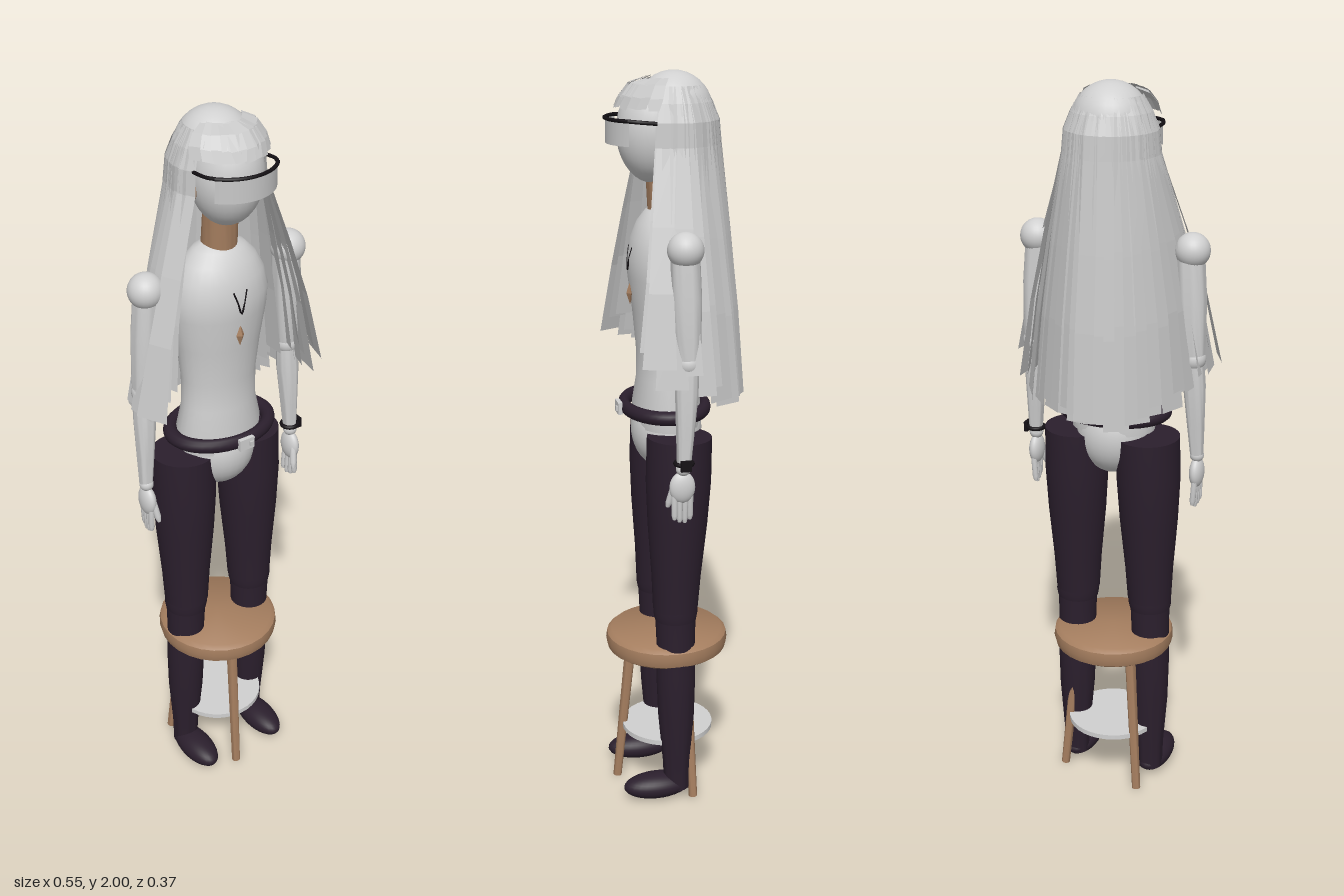
import * as THREE from 'three';
import { toCreasedNormals } from 'three/addons/utils/BufferGeometryUtils.js';

const mat = (name, color, side = THREE.FrontSide) => {
  const m = new THREE.MeshStandardMaterial({ color, side });
  m.name = name;
  return m;
};
const V = (x, y, z) => new THREE.Vector3(x, y, z);

export function createModel() {
  const body = mat('pale grey', 0xd0d0d0);
  const hairMat = mat('hair grey', 0xc8c8c8, THREE.DoubleSide);
  const cloth = mat('dark plum', 0x2b1f2d);
  const wood = mat('wood brown', 0xa57e5f);
  const black = mat('black', 0x141014, THREE.DoubleSide);

  const model = new THREE.Group();
  const add = (name, geo, material, x = 0, y = 0, z = 0) => {
    const m = new THREE.Mesh(geo, material);
    m.name = name;
    m.position.set(x, y, z);
    model.add(m);
    return m;
  };
  const ball = (name, material, x, y, z, rx, ry = rx, rz = rx) =>
    add(name, new THREE.SphereGeometry(1, 28, 18), material, x, y, z).scale.set(rx, ry, rz);
  const lathe = (profile) => toCreasedNormals(
    new THREE.LatheGeometry(profile.map(([r, y]) => new THREE.Vector2(r, y)), 28), 0.7);
  // round limb from a to b; profile holds [radius, fraction of length]
  const limb = (name, material, a, b, profile) => {
    const d = b.clone().sub(a), len = d.length();
    const m = add(name, lathe([[0, 0], ...profile.map(([r, t]) => [r, t * len]), [0, len]]), material, a.x, a.y, a.z);
    m.quaternion.setFromUnitVectors(V(0, 1, 0), d.normalize());
  };
  const tube = (name, material, pts, r) =>
    add(name, new THREE.TubeGeometry(new THREE.CatmullRomCurve3(pts), 24, r, 6), material);

  // Head
  ball('skull', body, 0, 1.9, 0, 0.1);
  ball('face', body, 0, 1.85, 0.052, 0.092, 0.13, 0.095);
  limb('neck', wood, V(0, 1.63, 0.02), V(0, 1.78, 0.03), [[0.046, 0], [0.044, 1]]);

  // Torso, pelvis and belt
  const torso = add('torso', lathe([[0, 1.08], [0.115, 1.08], [0.12, 1.14], [0.105, 1.21], [0.105, 1.29],
    [0.117, 1.39], [0.132, 1.48], [0.135, 1.53], [0.122, 1.58], [0.1, 1.62], [0.07, 1.65], [0.04, 1.665], [0, 1.67]]), body, 0, 0, 0.02);
  torso.scale.z = 0.75;
  ball('pelvis', body, 0, 1.065, 0.02, 0.1, 0.115, 0.095);
  const belt = add('belt', new THREE.TorusGeometry(0.14, 0.02, 12, 40), cloth, 0, 1.13, 0.025);
  belt.rotation.x = Math.PI / 2;
  belt.scale.set(1, 0.76, 0.95);
  add('buckle', new THREE.BoxGeometry(0.045, 0.032, 0.012), body, 0, 1.13, 0.149);
  add('buckleTongue', new THREE.BoxGeometry(0.012, 0.012, 0.006), hairMat, 0.012, 1.13, 0.157);

  // Necklace and pendant
  tube('necklace', black, [V(-0.02, 1.56, 0.113), V(-0.01, 1.53, 0.119), V(0, 1.5, 0.122), V(0.01, 1.53, 0.119), V(0.02, 1.56, 0.113)], 0.0025);
  const gem = add('pendant', new THREE.OctahedronGeometry(1), wood, 0, 1.437, 0.116);
  gem.scale.set(0.012, 0.03, 0.01);

  for (const s of [-1, 1]) {
    // Ears and temples
    ball('ear', wood, s * 0.094, 1.825, 0.04, 0.014, 0.03, 0.018);
    tube('glassesTemple', black, [V(s * 0.088, 1.885, 0.137), V(s * 0.1, 1.883, 0.11), V(s * 0.1, 1.878, 0.06)], 0.005);

    // Arms
    const elbow = V(s * 0.225, 1.3, 0.015), wrist = V(s * 0.235, 1.03, 0.028);
    ball('shoulder', body, s * 0.215, 1.585, 0.02, 0.046);
    limb('upperArm', body, elbow, V(s * 0.21, 1.57, 0.02), [[0.03, 0], [0.034, 0.2], [0.039, 0.6], [0.037, 1]]);
    ball('elbow', body, elbow.x, 1.3, 0.015, 0.033);
    limb('forearm', body, wrist, V(elbow.x, 1.29, 0.016), [[0.018, 0], [0.023, 0.3], [0.03, 0.75], [0.028, 1]]);
    ball('wrist', body, wrist.x, 1.025, 0.03, 0.019);

    // Hands
    ball('palm', body, s * 0.235, 0.975, 0.032, 0.019, 0.043, 0.034);
    for (let i = 0; i < 4; i++) {
      const z = 0.011 + i * 0.014;
      limb('finger', body, V(s * (0.231 + i * 0.002), 0.875 + Math.abs(i - 1.3) * 0.008, z), V(s * 0.236, 0.96, z), [[0.005, 0], [0.008, 0.15], [0.008, 1]]);
    }
    limb('thumb', body, V(s * 0.222, 0.92, 0.068), V(s * 0.232, 0.99, 0.05), [[0.005, 0], [0.009, 0.2], [0.009, 1]]);

    // Trouser legs and shoes
    limb('thigh', cloth, V(s * 0.108, 0.58, 0.02), V(s * 0.104, 1.07, 0.008),
      [[0.061, 0], [0.067, 0.2], [0.08, 0.5], [0.087, 0.75], [0.086, 1]]);
    limb('knee', cloth, V(s * 0.11, 0.55, 0.02), V(s * 0.109, 0.59, 0.02), [[0.057, 0], [0.06, 0.4], [0.06, 1]]);
    limb('calf', cloth, V(s * 0.116, 0.03, 0.018), V(s * 0.11, 0.57, 0.02),
      [[0.035, 0], [0.038, 0.15], [0.05, 0.42], [0.054, 0.65], [0.053, 0.85], [0.056, 1]]);
    ball('shoe', cloth, s * 0.115, 0.04, 0.074, 0.046, 0.036, 0.095);
  }

  // Watch on the left wrist
  const strap = add('watchStrap', new THREE.TorusGeometry(0.022, 0.006, 8, 20), black, 0.235, 1.04, 0.028);
  strap.rotation.x = Math.PI / 2;
  add('watchFace', new THREE.BoxGeometry(0.01, 0.028, 0.028), black, 0.261, 1.04, 0.028);

  // Curved glasses
  add('glassesLens', new THREE.CylinderGeometry(0.121, 0.121, 0.06, 20, 1, true, -0.84, 1.68), hairMat, 0, 1.853, 0.053);
  const rim = [];
  for (let i = -4; i <= 4; i++) rim.push(V(0.122 * Math.sin(i * 0.21), 1.885, 0.053 + 0.122 * Math.cos(i * 0.21)));
  tube('glassesRim', black, rim, 0.005);

  // Hair: flat ribbons, each given by centre points, half widths and a sideways direction
  let seed = 7;
  const rnd = () => (seed = (seed * 16807) % 2147483647) / 2147483647 - 0.5;
  const hair = [];
  const ribbon = (pts, widths, side) => {
    const edge = (i, k) => pts[i].clone().addScaledVector(side, k * widths[i]);
    for (let i = 0; i + 1 < pts.length; i++) {
      const a = edge(i, -1), b = edge(i, 1), c = edge(i + 1, 1), d = edge(i + 1, -1);
      for (const p of [a, d, c, a, c, b]) hair.push(p.x, p.y, p.z);
    }
  };
  // long strands hanging round the back and sides, in three layers
  [[1, 27, 0], [0.9, 24, 0.02], [0.79, 19, 0.03]].forEach(([k, n, lift]) => {
    for (let i = 0; i < n; i++) {
      const u = (i / (n - 1)) * 2 - 1;
      const a = u * 1.93 + rnd() * 0.05;
      const f = Math.min(1, Math.abs(u));
      const R = k * (0.18 + 0.1 * f * f) + rnd() * 0.012;
      const tip = 1.16 + 0.13 * f * f + lift + rnd() * 0.06;
      const at = (r, y) => V(Math.sin(a) * r, y, 0.005 - Math.cos(a) * r);
      const bulge = 0.105 + 0.018 * k;
      const mix = (t, e) => at(bulge + (R - bulge) * e, 1.82 + (tip - 1.82) * t);
      const tw = a + rnd() * 0.3;
      ribbon([at(0.078, 1.965), at(0.1, 1.925), at(bulge - 0.005, 1.88), mix(0, 0), mix(0.35, 0.42), mix(0.65, 0.74), mix(1, 1)],
        [0.012, 0.018, 0.022, 0.024, 0.027, 0.031, 0.031 + 0.012 * f], V(Math.cos(tw), 0, Math.sin(tw)));
    }
  });
  // short fringe swept over the forehead
  for (let i = 0; i < 11; i++) {
    const a = (i - 5) * 0.21 + rnd() * 0.06;
    const at = (r, y) => V(Math.sin(a) * r * 0.8, y + rnd() * 0.006, Math.cos(a) * r);
    ribbon([at(0.075, 1.982), at(0.115, 1.968), at(0.14, 1.94), at(0.152, 1.912)],
      [0.012, 0.018, 0.02, 0.014], V(Math.cos(a), rnd() * 0.3, -Math.sin(a)));
  }
  const hairGeo = new THREE.BufferGeometry();
  hairGeo.setAttribute('position', new THREE.Float32BufferAttribute(hair, 3));
  hairGeo.computeVertexNormals();
  add('hair', hairGeo, hairMat);

  // Stool: seat, three splayed legs and a round footrest
  add('stoolSeat', lathe([[0, 0.415], [0.15, 0.415], [0.165, 0.425], [0.17, 0.445], [0.167, 0.465], [0.155, 0.475], [0, 0.475]]), wood, 0, 0, 0.02);
  for (let i = 0; i < 3; i++) {
    const a = 1.77 + (i * Math.PI * 2) / 3, c = Math.cos(a), s = Math.sin(a);
    limb('stoolLeg', wood, V(c * 0.143, 0.002, 0.02 + s * 0.143), V(c * 0.1, 0.43, 0.02 + s * 0.1), [[0.012, 0], [0.015, 1]]);
  }
  add('footrest', new THREE.CylinderGeometry(0.128, 0.128, 0.014, 36), body, 0, 0.172, 0.018);

  return model;
}
